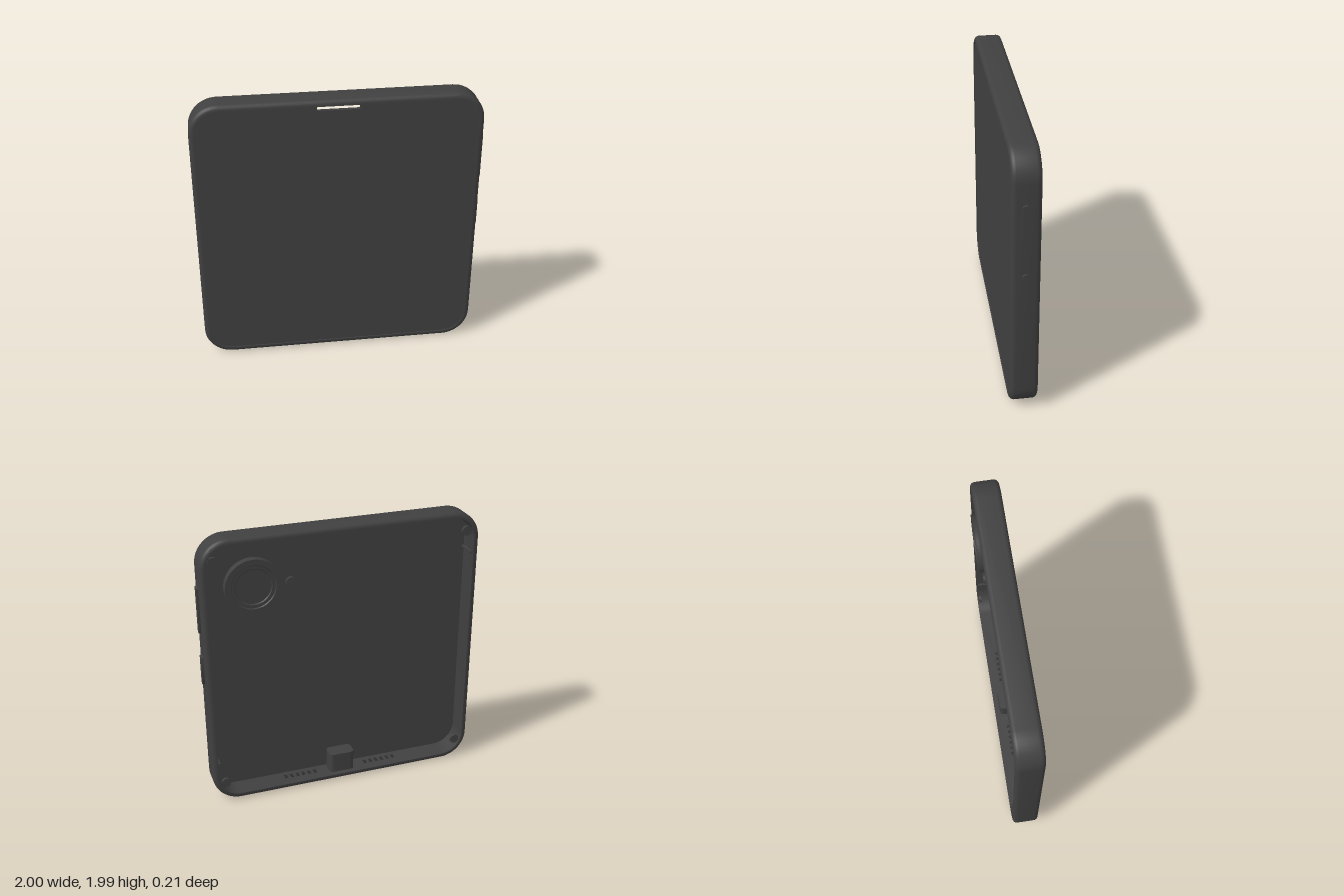
import * as THREE from 'three';
import { toCreasedNormals } from 'three/addons/utils/BufferGeometryUtils.js';

const CX = -0.0075, CY = 0.995, HALF_W = 0.9925, HALF_H = 0.995, RADIUS = 0.2;

// Rounded-rectangle outline, counter-clockwise seen from +z
function outline(cx, cy, hw, hh, r, steps = 12) {
  const pts = [];
  [[1, -1], [1, 1], [-1, 1], [-1, -1]].forEach(([sx, sy], k) => {
    for (let i = 0; i <= steps; i++) {
      const a = (k - 1 + i / steps) * Math.PI / 2;
      pts.push(new THREE.Vector2(
        cx + sx * (hw - r) + r * Math.cos(a),
        cy + sy * (hh - r) + r * Math.sin(a)));
    }
  });
  return pts;
}

const bodyOutline = (inset) =>
  outline(CX, CY, HALF_W - inset, HALF_H - inset, RADIUS - inset);

// Closed profile of [inset, z] swept around the body outline
function sweepFrame(profile) {
  const rings = profile.map(([inset]) => bodyOutline(inset));
  const n = rings[0].length, m = profile.length, pos = [], index = [];
  rings.forEach((ring, j) => ring.forEach((p) => pos.push(p.x, p.y, profile[j][1])));
  for (let j = 0; j < m; j++) {
    for (let i = 0; i < n; i++) {
      const i2 = (i + 1) % n, j2 = (j + 1) % m;
      const a = j * n + i, b = j * n + i2, c = j2 * n + i2, d = j2 * n + i;
      index.push(a, b, c, a, c, d);
    }
  }
  const g = new THREE.BufferGeometry();
  g.setAttribute('position', new THREE.Float32BufferAttribute(pos, 3));
  g.setIndex(index);
  return toCreasedNormals(g, 0.6);
}

// Rounded bar centred on its origin, thickness along z
function roundedBar(w, h, r, depth) {
  const shape = new THREE.Shape(outline(0, 0, w / 2, h / 2, r * 0.999, 8));
  const g = new THREE.ExtrudeGeometry(shape, { depth, bevelEnabled: false });
  g.translate(0, 0, -depth / 2);
  return toCreasedNormals(g, 0.6);
}

export function createModel() {
  const group = new THREE.Group();
  const shell = new THREE.MeshStandardMaterial({ color: 0x404040 });
  shell.name = 'charcoal shell';
  const dark = new THREE.MeshStandardMaterial({ color: 0x2c2c2c });
  dark.name = 'dark openings';

  const add = (name, geometry, x = 0, y = 0, z = 0, material = shell) => {
    const mesh = new THREE.Mesh(geometry, material);
    mesh.name = name;
    mesh.position.set(x, y, z);
    group.add(mesh);
    return mesh;
  };

  // Hollow frame with filleted outer edges, open at the back
  const profile = [], f = 0.032, back = -0.09, front = 0.1;
  for (let i = 0; i <= 5; i++) {
    const a = i / 5 * Math.PI / 2;
    profile.push([f - f * Math.sin(a), back + f - f * Math.cos(a)]);
  }
  for (let i = 0; i <= 5; i++) {
    const a = i / 5 * Math.PI / 2;
    profile.push([f - f * Math.cos(a), front - f + f * Math.sin(a)]);
  }
  profile.push([0.04, front], [0.04, back]);
  add('frame', sweepFrame(profile));

  // Front panel with an open earpiece slot
  const panel = new THREE.Shape(bodyOutline(0.04));
  panel.holes.push(new THREE.Path(outline(-0.008, 1.932, 0.143, 0.014, 0.006, 4).reverse()));
  add('frontPanel', toCreasedNormals(
    new THREE.ExtrudeGeometry(panel, { depth: 0.027, bevelEnabled: false }), 0.6), 0, 0, 0.066);

  // Side buttons, passing through the wall
  [['volumeButton', 1.49, 0.34], ['powerButton', 1.042, 0.225]].forEach(([name, y, length]) => {
    add(name, roundedBar(0.044, length, 0.022, 0.06), 0.97, y, 0.01).rotation.y = Math.PI / 2;
  });

  // Rear camera: raised ring around a stepped lens
  const lens = [[0, -0.055], [0.195, -0.055], [0.195, -0.107], [0.155, -0.107],
    [0.15, -0.1], [0.128, -0.1], [0.122, -0.094], [0, -0.094]]
    .map(([r, z]) => new THREE.Vector2(r, -z));
  const camera = add('camera', toCreasedNormals(new THREE.LatheGeometry(lens, 48), 0.5), 0.635, 1.645, 0);
  camera.rotation.x = -Math.PI / 2;

  // Discs facing the back: flash and four corner screws
  const disc = (name, x, y, z, r) => {
    add(name, new THREE.CylinderGeometry(r, r, 0.02, 24), x, y, z).rotation.x = Math.PI / 2;
  };
  disc('flash', 0.374, 1.64, -0.08, 0.036);
  for (const sx of [-1, 1]) {
    for (const sy of [-1, 1]) disc('cornerScrew', CX + sx * 0.9, CY + sy * 0.848, -0.07, 0.034);
  }

  // Thin ribs on the inner side walls
  for (const s of [-1, 1]) {
    add('wallRib', new THREE.BoxGeometry(0.02, 0.014, 0.145), CX + s * 0.945, CY - s * 0.685, -0.005);
  }

  // Socket block inside the bottom wall, with its opening below
  add('socketBlock', roundedBar(0.19, 0.115, 0.03, 0.16), 0, 0.11, 0.006).rotation.x = Math.PI / 2;
  add('socketOpening', roundedBar(0.21, 0.06, 0.03, 0.004), 0, 0, 0.006, dark).rotation.x = Math.PI / 2;

  // Bottom vents, showing on both faces of the wall
  for (const s of [-1, 1]) {
    for (let i = 0; i < 6; i++) {
      const x = s * (0.2 + i * 0.045);
      add('ventOuter', new THREE.CylinderGeometry(0.009, 0.009, 0.004, 12), x, 0, 0.006, dark);
      add('ventInner', new THREE.BoxGeometry(0.022, 0.004, 0.04), x, 0.04, 0.006, dark);
    }
  }
  return group;
}
